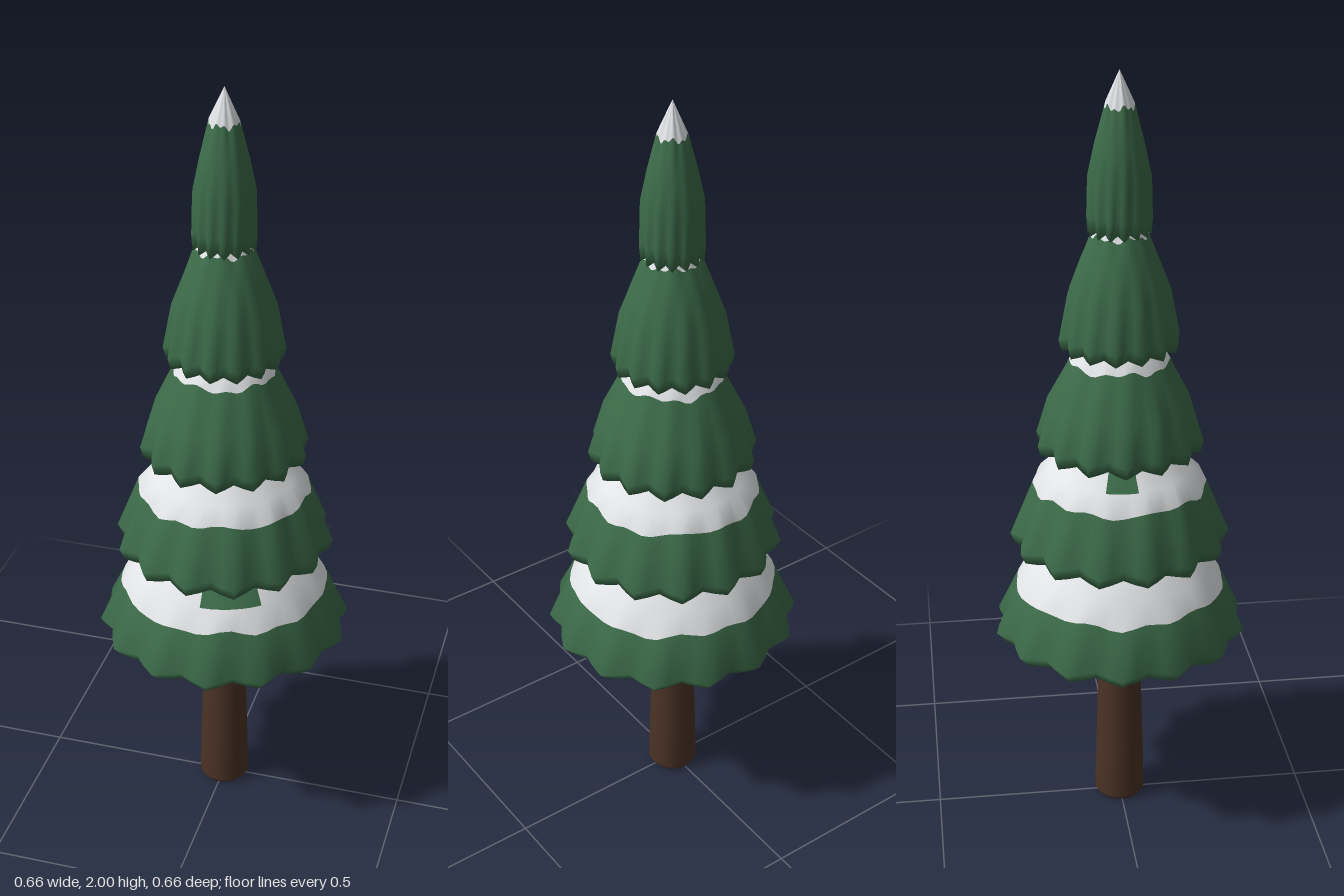
import * as THREE from 'three';

const foliage = new THREE.MeshStandardMaterial({ color: 0x3c6b49 });
foliage.name = 'foliage green';
const snow = new THREE.MeshStandardMaterial({ color: 0xf0f2f5 });
snow.name = 'snow white';
const bark = new THREE.MeshStandardMaterial({ color: 0x4c3326 });
bark.name = 'bark brown';

const TIPS = 14, STEP = 4, SEG = TIPS * STEP;

// Profile rows run from the underside centre, round the rim, to the top: [radius, y, ruffle 0..1].
// snowRow is the row where snow begins; bare lists [from, to] angles (degrees) left green.
const tiers = [
  { name: 'bottomBranches', phase: 83, depth: 0.07, snowRow: 5, bare: [48, 88],
    rows: [[0.001, 0.445, 0], [0.1, 0.452, 0.1], [0.22, 0.482, 0.4], [0.306, 0.515, 0.9], [0.333, 0.545, 1],
      [0.275, 0.66, 0.25], [0.238, 0.715, 0], [0.2, 0.765, 0], [0.13, 0.84, 0]] },
  { name: 'lowerBranches', phase: 95, depth: 0.1, snowRow: 4, bare: [175, 198],
    rows: [[0.001, 0.79, 0], [0.2, 0.775, 0.4], [0.272, 0.775, 0.9], [0.285, 0.805, 1],
      [0.225, 0.945, 0.2], [0.185, 0.99, 0], [0.14, 1.04, 0], [0.09, 1.1, 0]] },
  { name: 'middleBranches', phase: 80, depth: 0.11, snowRow: 5,
    rows: [[0.001, 1.07, 0], [0.15, 1.055, 0.4], [0.208, 1.045, 0.9], [0.216, 1.075, 1], [0.186, 1.17, 0.5],
      [0.128, 1.28, 0.1], [0.11, 1.31, 0], [0.07, 1.37, 0]] },
  { name: 'upperBranches', phase: 88, depth: 0.11, snowRow: 6,
    rows: [[0.001, 1.34, 0], [0.1, 1.325, 0.4], [0.146, 1.315, 0.9], [0.153, 1.345, 1], [0.13, 1.46, 0.5],
      [0.098, 1.54, 0.2], [0.071, 1.605, 0], [0.04, 1.66, 0]] },
  { name: 'topBranches', phase: 75, depth: 0.12, snowRow: 6,
    rows: [[0.001, 1.63, 0], [0.05, 1.62, 0.4], [0.078, 1.61, 1], [0.081, 1.65, 0.9], [0.078, 1.75, 0.4],
      [0.06, 1.83, 0.1], [0.037, 1.915, 0], [0.0005, 2, 0]] },
];

// Ruffled skirt: rings of vertices whose pointed waves fade out towards the top
function buildTier({ name, phase, depth, snowRow, bare, rows }) {
  const positions = [];
  rows.forEach(([r, y, ruffle], row) => {
    for (let i = 0; i < SEG; i++) {
      const a = (i / SEG) * Math.PI * 2 + THREE.MathUtils.degToRad(phase);
      const valley = 1 - Math.abs((i % STEP) / STEP * 2 - 1); // 0 at a tip, 1 in a valley
      const radius = r * (1 - depth * ruffle * valley);
      // Uneven lower edge of the snow
      const wobble = row === snowRow ? 0.005 * (Math.sin(a * 5 + phase) + Math.sin(a * 11)) : 0;
      positions.push(Math.cos(a) * radius, y + 0.014 * ruffle * (valley - 0.5) + wobble, Math.sin(a) * radius);
    }
  });

  const green = [], white = [];
  for (let row = 0; row < rows.length - 1; row++) {
    for (let i = 0; i < SEG; i++) {
      const j = (i + 1) % SEG;
      const a = row * SEG + i, b = row * SEG + j;
      const c = a + SEG, d = b + SEG;
      const angle = (phase + ((i + 0.5) / SEG) * 360) % 360;
      const isBare = bare && row > snowRow && angle > bare[0] && angle < bare[1];
      (row >= snowRow && !isBare ? white : green).push(a, c, b, b, c, d);
    }
  }
  const geometry = new THREE.BufferGeometry();
  geometry.setAttribute('position', new THREE.Float32BufferAttribute(positions, 3));
  geometry.setIndex([...green, ...white]);
  geometry.addGroup(0, green.length, 0);
  geometry.addGroup(green.length, white.length, 1);
  geometry.computeVertexNormals();
  const mesh = new THREE.Mesh(geometry, [foliage, snow]);
  mesh.name = name;
  return mesh;
}

export function createModel() {
  const tree = new THREE.Group();
  tree.name = 'snowyTree';

  // Tapered trunk with a slightly rounded foot
  const profile = [[0.001, 0], [0.06, 0], [0.068, 0.012], [0.064, 0.16], [0.055, 0.48]]
    .map(([x, y]) => new THREE.Vector2(x, y));
  const trunk = new THREE.Mesh(new THREE.LatheGeometry(profile, 16), bark);
  trunk.name = 'trunk';
  tree.add(trunk);

  tiers.forEach((tier) => tree.add(buildTier(tier)));
  return tree;
}
